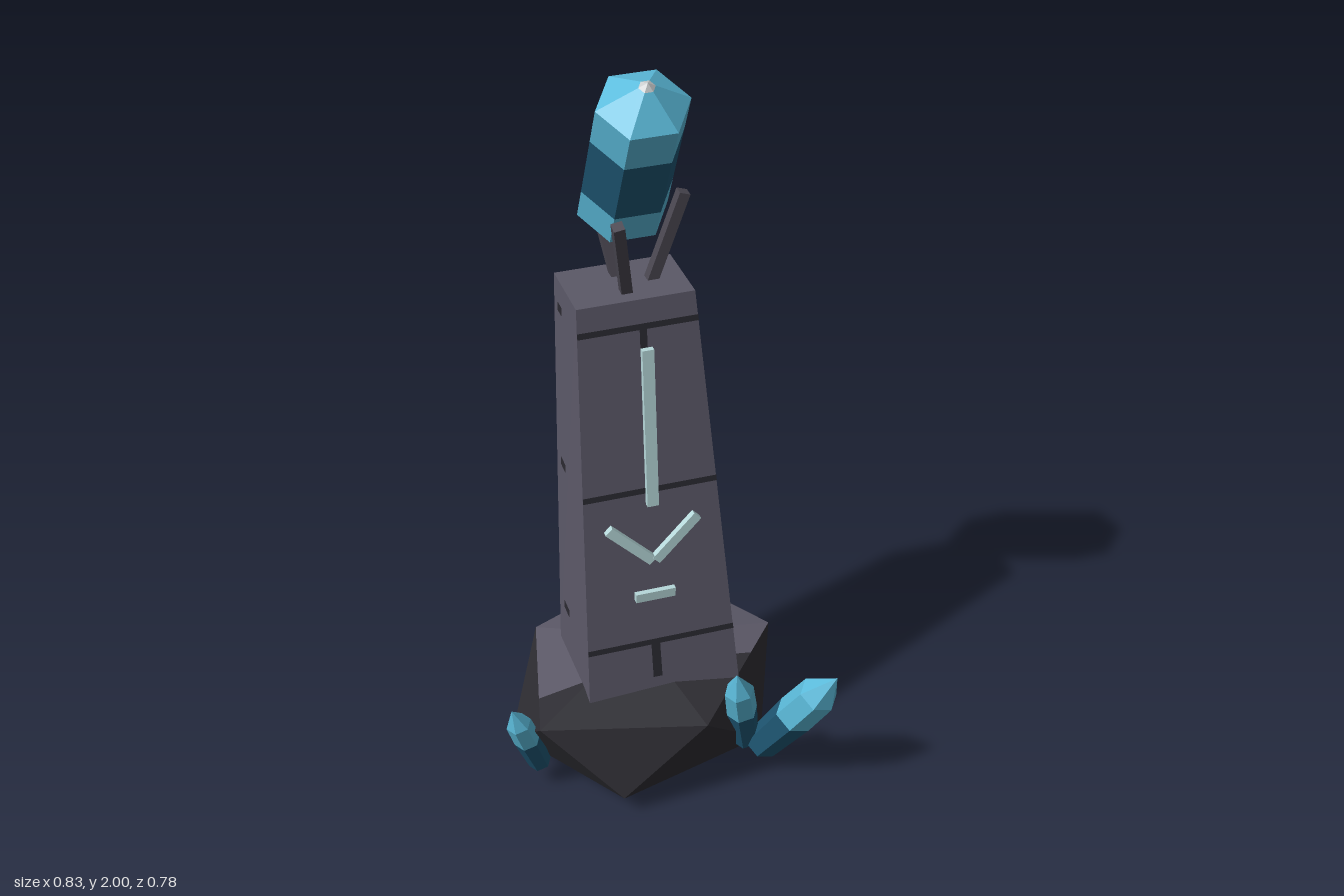
import * as THREE from 'three';

const mat = (name, color) => {
  const m = new THREE.MeshStandardMaterial({ color });
  m.name = name;
  return m;
};
const V = (x, y, z) => new THREE.Vector3(x, y, z);

// flat-shaded mesh from polygons, each turned to face away from a centre point
function facets(name, polys, centre, material) {
  const pos = [];
  for (const poly of polys) {
    const n = new THREE.Vector3().crossVectors(
      poly[1].clone().sub(poly[0]), poly[2].clone().sub(poly[0]));
    const p = n.dot(poly[0].clone().sub(centre)) < 0 ? [...poly].reverse() : poly;
    for (let i = 1; i < p.length - 1; i++) {
      for (const v of [p[0], p[i], p[i + 1]]) pos.push(v.x, v.y, v.z);
    }
  }
  const g = new THREE.BufferGeometry();
  g.setAttribute('position', new THREE.Float32BufferAttribute(pos, 3));
  g.computeVertexNormals();
  const mesh = new THREE.Mesh(g, material);
  mesh.name = name;
  return mesh;
}

// box bar running between two points
function bar(name, a, b, w, d, material) {
  const dir = b.clone().sub(a);
  const mesh = new THREE.Mesh(new THREE.BoxGeometry(w, dir.length(), d), material);
  mesh.position.copy(a).add(b).multiplyScalar(0.5);
  mesh.quaternion.setFromUnitVectors(V(0, 1, 0), dir.normalize());
  mesh.name = name;
  return mesh;
}

// six-sided crystal; sections = [name, material, [[t, radius], ...]] from base to tip
function crystal(name, a, b, radius, sections) {
  const group = new THREE.Group();
  const dir = b.clone().sub(a);
  const len = dir.length();
  for (const [part, material, rings] of sections) {
    const pts = rings.map(([t, r]) => new THREE.Vector2(r * radius, t * len));
    const g = new THREE.LatheGeometry(pts, 6, Math.PI / 2).toNonIndexed();
    g.computeVertexNormals();
    const mesh = new THREE.Mesh(g, material);
    mesh.name = part;
    group.add(mesh);
  }
  group.scale.z = 0.93;
  group.position.copy(a);
  group.quaternion.setFromUnitVectors(V(0, 1, 0), dir.normalize());
  group.name = name;
  return group;
}

export function createModel() {
  const model = new THREE.Group();
  model.name = 'crystalObelisk';

  const stone = mat('stone', 0x5c5968);
  const rock = mat('darkRock', 0x2e2d33);
  const seam = mat('seam', 0x2b2a31);
  const metal = mat('prongMetal', 0x4a4751);
  const glyph = mat('paleGlyph', 0xb6d8da);
  const light = mat('lightCrystal', 0x5cbcdc);
  const deep = mat('deepCrystal', 0x1f5875);
  const tip = mat('crystalTip', 0xc9cccd);

  // base boulder: a squashed icosahedron with lighter top faces at the back
  const up = [[-0.24, -0.22], [-0.335, 0.18], [0.085, 0.29], [0.375, -0.05], [0.15, -0.385]]
    .map(([x, z]) => V(x, 0.262, z));
  const low = [[-0.36, -0.04], [-0.14, 0.285], [0.28, 0.17], [0.325, -0.265], [-0.085, -0.39]]
    .map(([x, z]) => V(x, 0.06, z));
  const top = V(0, 0.32, -0.05), bottom = V(0, 0, -0.05), mid = V(0, 0.16, -0.05);
  const mix = (a, b, t) => a.clone().lerp(b, t);
  const cutL = [mix(up[0], up[1], 0.7), mix(top, up[1], 0.48)];
  const cutR = [mix(up[3], up[2], 0.3), mix(top, up[2], 0.3)];
  const darkFaces = [
    [top, up[1], up[2]], [cutL[1], cutL[0], up[1]], [cutR[1], cutR[0], up[2]],
  ];
  for (let i = 0; i < 5; i++) {
    const j = (i + 1) % 5;
    darkFaces.push([up[i], low[i], up[j]], [low[i], low[j], up[j]], [bottom, low[i], low[j]]);
  }
  const lightFaces = [
    [top, up[3], up[4]], [top, up[4], up[0]],
    [top, up[0], cutL[0], cutL[1]], [top, up[3], cutR[0], cutR[1]],
  ];
  model.add(facets('boulder', darkFaces, mid, rock));
  model.add(facets('boulderTop', lightFaces, mid, stone));

  // tapered pillar leaning back; corners run front left of image, then round
  const y0 = 0.25;
  const foot = [V(-0.188, y0, 0.137), V(0.225, y0, 0.137), V(0.225, y0, -0.15), V(-0.188, y0, -0.15)];
  const head = [V(-0.162, 1.4, -0.018), V(0.137, 1.4, -0.018), V(0.137, 1.387, -0.217), V(-0.162, 1.387, -0.217)];
  const core = V(0, 0.82, -0.06);
  const sides = [0, 1, 2, 3].map((k) => [foot[k], foot[(k + 1) % 4], head[(k + 1) % 4], head[k]]);
  model.add(facets('pillar', [...sides, head, foot], core, stone));

  // thin dark seams laid on the pillar sides
  const out = [V(0, 0, 1), V(1, 0, 0), V(0, 0, -1), V(-1, 0, 0)];
  const on = (k, u, y) => {
    const t = (y - y0) / (1.4 - y0), j = (k + 1) % 4;
    return mix(mix(foot[k], head[k], t), mix(foot[j], head[j], t), u).addScaledVector(out[k], 0.003);
  };
  const patch = (k, u0, u1, ya, yb) => [on(k, u0, ya), on(k, u1, ya), on(k, u1, yb), on(k, u0, yb)];
  const joint = (k, ua, ub, ya, yb, w = 0.03) =>
    [on(k, ua - w, ya), on(k, ua + w, ya), on(k, ub + w, yb), on(k, ub - w, yb)];
  const seams = [];
  for (const y of [0.43, 0.88, 1.33]) {
    seams.push(patch(0, 0, 1, y - 0.008, y + 0.008));
    seams.push(patch(1, 0, 1, y - 0.006, y + 0.006));
    seams.push(patch(2, 0.3, 1, y - 0.008, y + 0.008));
    seams.push(patch(3, 0.2, 0.38, y - 0.012, y + 0.012));
  }
  seams.push(joint(0, 0.46, 0.46, 0.32, 0.43), joint(0, 0.5, 0.54, 0.88, 1.33));
  seams.push(joint(1, 0.57, 0.56, 0.3, 0.43), joint(1, 0.42, 0.15, 0.88, 1.33));
  seams.push(joint(2, 0.5, 0.5, 0.3, 0.43), joint(2, 0.48, 0.45, 0.88, 1.33));
  model.add(facets('pillarSeams', seams, core, seam));

  // raised glyph bars on the front
  model.add(bar('glyphStroke', V(0, 0.85, 0.078), V(0, 1.29, 0.034), 0.03, 0.016, glyph));
  for (const s of [-1, 1]) {
    model.add(bar('glyphChevron', V(0.004 * s, 0.685, 0.092), V(0.117 * s, 0.795, 0.08), 0.026, 0.017, glyph));
  }
  model.add(bar('glyphDash', V(-0.053, 0.58, 0.104), V(0.053, 0.58, 0.104), 0.026, 0.014, glyph));

  // three prongs spreading from the pillar top
  for (let i = 0; i < 3; i++) {
    const a = (i * Math.PI * 2) / 3;
    const at = (r, y) => V(0.005 + r * Math.cos(a), y, -0.117 + r * Math.sin(a));
    model.add(bar('prong', at(0.045, 1.37), at(0.132, 1.62), 0.028, 0.028, metal));
  }

  // large floating crystal, banded in colour with pale points
  model.add(crystal('mainCrystal', V(0, 1.5, -0.2), V(0, 2, 0.035), 0.114, [
    ['lowerPoint', tip, [[0, 0], [0.025, 0.18]]],
    ['lowerCrystal', light, [[0.025, 0.18], [0.14, 1], [0.31, 1]]],
    ['middleCrystal', deep, [[0.31, 1], [0.66, 1]]],
    ['upperCrystal', light, [[0.66, 1], [0.86, 1], [0.975, 0.18]]],
    ['upperPoint', tip, [[0.975, 0.18], [1, 0]]],
  ]));

  // small crystals growing from the boulder
  const shards = [
    [V(0.255, 0.045, 0.195), V(0.4, 0.425, 0.385), 0.058],
    [V(0.235, 0.06, 0.185), V(0.172, 0.39, 0.262), 0.042],
    [V(-0.31, 0.045, 0.09), V(-0.402, 0.322, 0.15), 0.036],
  ];
  for (const [a, b, r] of shards) {
    model.add(crystal('smallCrystal', a, b, r, [
      ['shardBase', deep, [[0, 0], [0.09, 0.85], [0.5, 1]]],
      ['shardTop', light, [[0.5, 1], [0.78, 0.95], [1, 0]]],
    ]));
  }
  return model;
}
